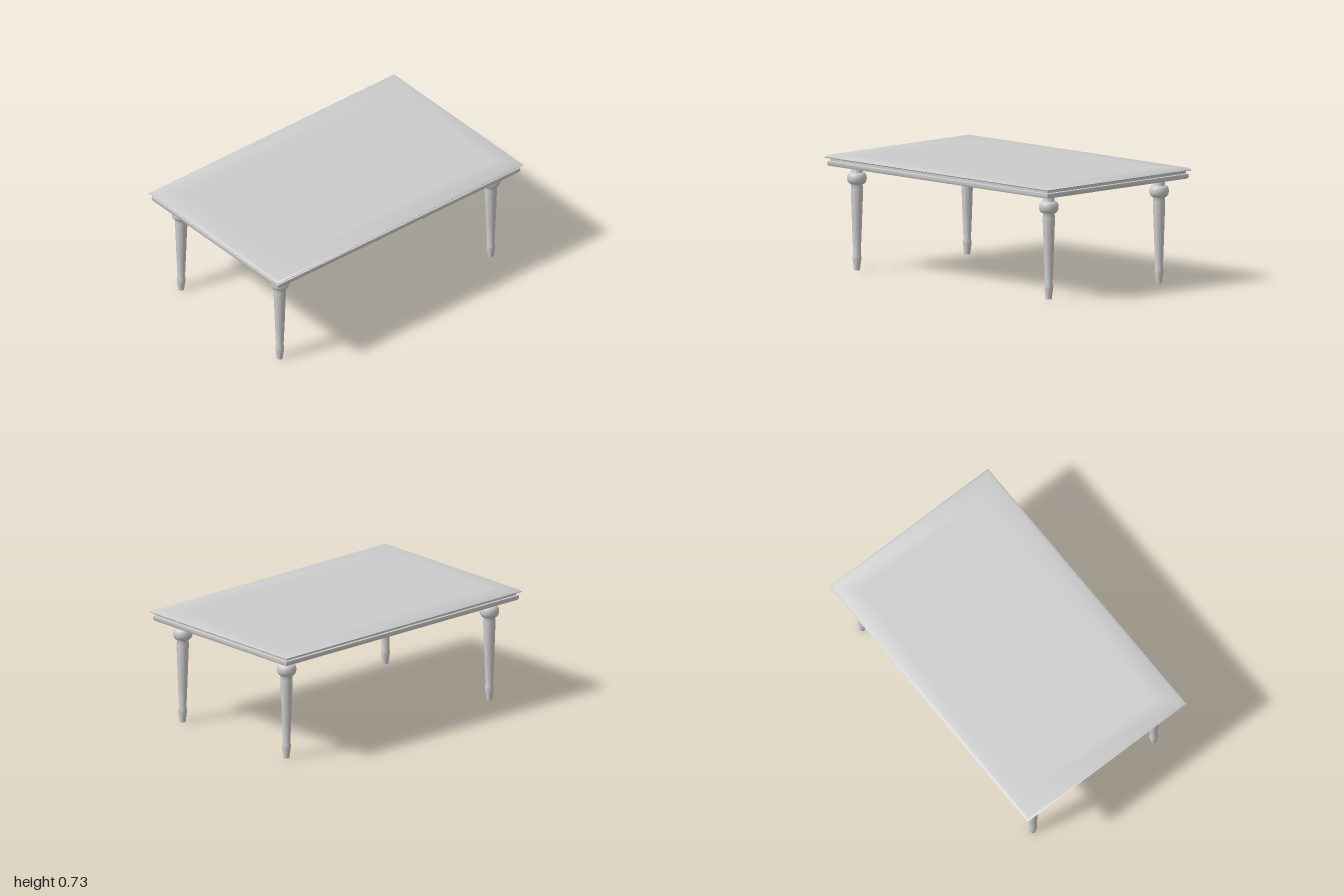
import * as THREE from 'three';
import { toCreasedNormals } from 'three/addons/utils/BufferGeometryUtils.js';

const material = new THREE.MeshStandardMaterial({ color: 0xcccccc });
const HALF_X = 0.633, HALF_Z = 1;

// Rectangular slab lofted through [inset, y] rings, listed from top to bottom
function loftSlab(rings) {
  const corners = [[1, 1], [1, -1], [-1, -1], [-1, 1]];
  const positions = [], index = [0, 1, 2, 0, 2, 3];
  rings.forEach(([inset, y], i) => {
    for (const [sx, sz] of corners) positions.push(sx * (HALF_X - inset), y, sz * (HALF_Z - inset));
    if (i === 0) return;
    for (let k = 0; k < 4; k++) {
      const n = (k + 1) % 4, up = (i - 1) * 4, low = i * 4;
      index.push(up + k, low + k, low + n, up + k, low + n, up + n);
    }
  });
  const b = (rings.length - 1) * 4;
  index.push(b, b + 2, b + 1, b, b + 3, b + 2);
  const geometry = new THREE.BufferGeometry();
  geometry.setAttribute('position', new THREE.Float32BufferAttribute(positions, 3));
  geometry.setIndex(index);
  return toCreasedNormals(geometry, 1.1);
}

// Turned leg: [radius, y] profile from the floor up, with a round bulb
function turnedLeg() {
  const profile = [
    [0, 0], [0.019, 0], [0.021, 0.02], [0.028, 0.072], [0.028, 0.082], [0.024, 0.1],
    [0.03, 0.25], [0.035, 0.4], [0.039, 0.5], [0.039, 0.515], [0.036, 0.54],
  ];
  for (let i = 0; i <= 10; i++) {
    const a = -Math.PI / 2 + (Math.PI * i) / 10;
    profile.push([0.039 + 0.023 * Math.cos(a), 0.584 + 0.037 * Math.sin(a)]);
  }
  profile.push([0.037, 0.626], [0.037, 0.67]);
  const points = profile.map(([r, y]) => new THREE.Vector2(r, y));
  return toCreasedNormals(new THREE.LatheGeometry(points, 28), 0.9);
}

export function createModel() {
  const table = new THREE.Group();
  table.name = 'table';

  // Top with a bevelled lip, recessed groove and moulded lower rail
  const top = new THREE.Mesh(loftSlab([
    [0.15, 0.731], [0.018, 0.731], [0, 0.718], [0.002, 0.714], [0.018, 0.712],
    [0.026, 0.708], [0.026, 0.694], [0.014, 0.691], [0.013, 0.674], [0.019, 0.662],
  ]), material);
  top.name = 'tableTop';
  table.add(top);

  // Four matching legs
  const legGeometry = turnedLeg();
  for (const [side, x] of [['Left', 0.483], ['Right', -0.483]]) {
    for (const [end, z] of [['front', 0.86], ['back', -0.86]]) {
      const leg = new THREE.Mesh(legGeometry, material);
      leg.name = `${end}${side}Leg`;
      leg.position.set(x, 0, z);
      table.add(leg);
    }
  }
  return table;
}
